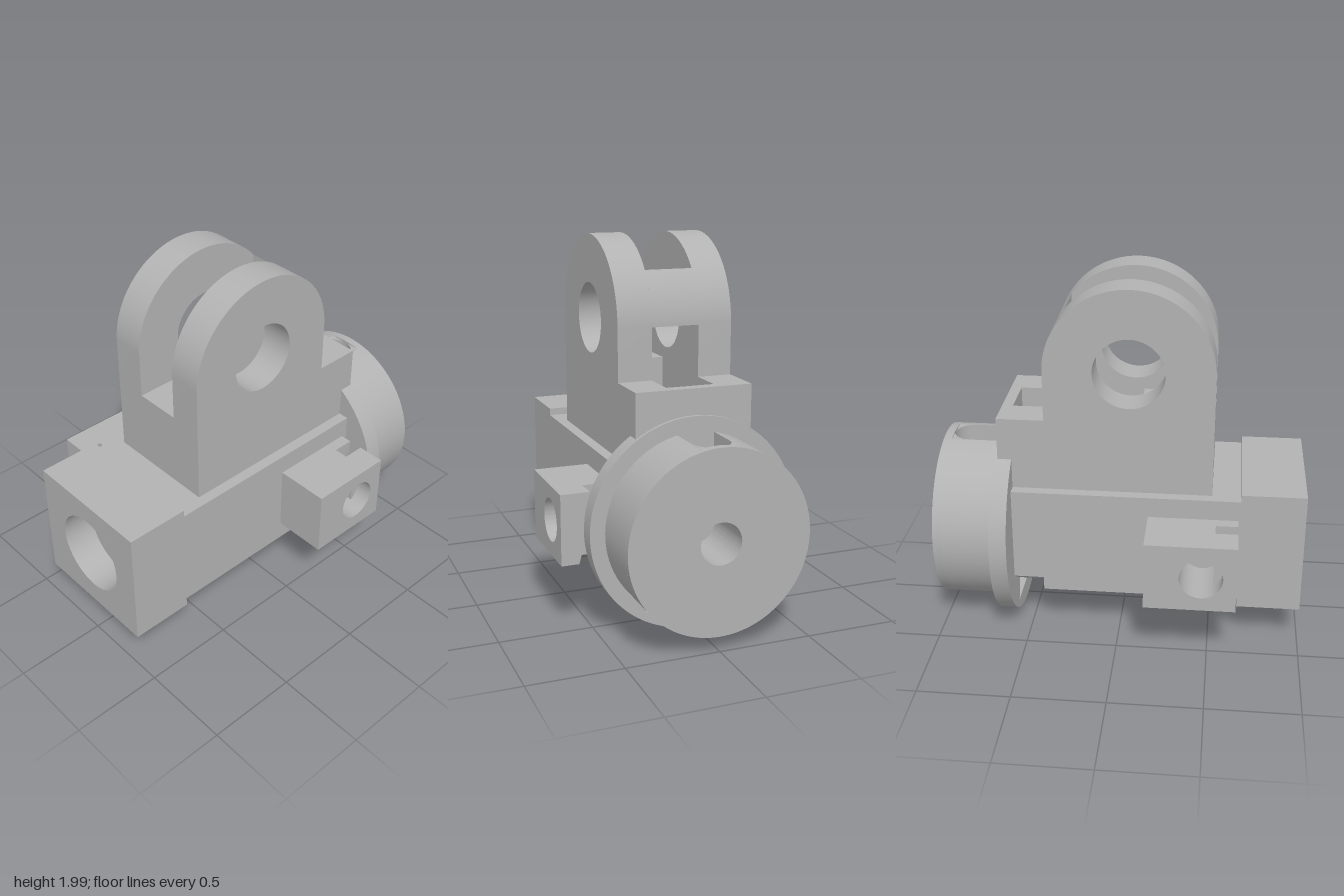
import * as THREE from 'three';
import { toCreasedNormals } from 'three/addons/utils/BufferGeometryUtils.js';

export function createModel() {
  const model = new THREE.Group();
  const grey = new THREE.MeshStandardMaterial({ color: 0xb2b2b2 });
  grey.name = 'plainGrey';

  const add = (name, geometry, parent = model) => {
    const mesh = new THREE.Mesh(toCreasedNormals(geometry, 0.5), grey);
    mesh.name = name;
    parent.add(mesh);
    return mesh;
  };
  const extrude = (shape, depth) =>
    new THREE.ExtrudeGeometry(shape, { depth, bevelEnabled: false, curveSegments: 48 });
  // Outline in x,y swept from z0 to z1
  const alongZ = (shape, z0, z1) => extrude(shape, z1 - z0).translate(0, 0, z0);
  // Outline in z,y swept from x0 to x1
  const alongX = (shape, x0, x1) => extrude(shape, x1 - x0).rotateY(-Math.PI / 2).translate(x1, 0, 0);
  const poly = (...pts) => new THREE.Shape(pts.map(([x, y]) => new THREE.Vector2(x, y)));
  const rect = (a, b, c, d) => poly([a, b], [c, b], [c, d], [a, d]);
  const disc = (x, y, r) => new THREE.Shape().absarc(x, y, r, 0, Math.PI * 2, false);
  const bored = (shape, x, y, r) => {
    shape.holes.push(new THREE.Path().absarc(x, y, r, 0, Math.PI * 2, true));
    return shape;
  };
  const box = (x0, x1, y0, y1, z0, z1) =>
    new THREE.BoxGeometry(x1 - x0, y1 - y0, z1 - z0)
      .translate((x0 + x1) / 2, (y0 + y1) / 2, (z0 + z1) / 2);

  const cy = 0.567;

  // Front socket with a stepped bore
  add('socketMouth', alongZ(bored(rect(-0.375, 0.22, 0.375, 0.91), 0, cy, 0.225), 0.82, 1));
  add('socketNeck', alongZ(bored(rect(-0.375, 0.22, 0.375, 0.91), 0, cy, 0.185), 0.655, 0.82));

  // Main body: bored front, small inner hole, solid web
  add('bodyFront', alongZ(bored(rect(-0.375, 0.27, 0.375, 0.87), 0, cy, 0.185), 0, 0.655));
  add('bodyInnerWall', alongZ(bored(rect(-0.375, 0.27, 0.375, 0.87), -0.052, 0.575, 0.065), -0.1, 0));
  add('bodyWeb', box(-0.375, 0.375, 0.27, 0.87, -0.17, -0.1));

  // Rear side walls either side of the vertical slot, lower corners relieved
  for (const s of [-1, 1]) {
    add('rearWall', alongZ(rect(s * 0.13, 0.27, s * 0.375, 0.87), -0.415, -0.17));
    add('rearWallRelieved', alongZ(poly([s * 0.13, 0.27], [s * 0.27, 0.27], [s * 0.375, 0.345],
      [s * 0.375, 0.87], [s * 0.13, 0.87]), -0.58, -0.415));
  }

  // Clevis: two arched cheeks joined by a front filler, a back bridge and an end wall
  for (const x0 of [-0.315, 0.13]) {
    const cheek = new THREE.Shape();
    cheek.moveTo(0.5, 0.87);
    cheek.lineTo(0.5, 1.545);
    cheek.absarc(0.05, 1.545, 0.45, 0, Math.PI, false);
    for (const [z, y] of [[-0.4, 1.27], [-0.655, 1.27], [-0.655, 1.03], [-0.58, 1.03], [-0.58, 0.87]])
      cheek.lineTo(z, y);
    add('clevisCheek', alongX(bored(cheek, 0.05, 1.545, 0.19), x0, x0 + 0.185));
  }
  add('clevisFiller', box(-0.13, 0.13, 0.87, 1.29, 0.1, 0.5));
  add('clevisEndWall', box(-0.13, 0.13, 1.03, 1.27, -0.655, -0.595));
  const bridge = new THREE.Shape();
  bridge.moveTo(-0.3, 1.545);
  bridge.lineTo(-0.3, 1.828);
  bridge.absarc(0.05, 1.545, 0.45, Math.PI - 0.68, Math.PI, false);
  add('clevisBridge', alongX(bridge, -0.13, 0.13));

  // Side ears with a cross bore and a slot that flares downwards
  const bore = (shape) => bored(shape, -0.36, 0.57, 0.115);
  const bitten = () => {
    const shape = new THREE.Shape();
    const a = Math.atan2(0.095, -0.065);
    shape.moveTo(-0.06, 0.38);
    shape.lineTo(-0.06, 0.757);
    shape.lineTo(-0.425, 0.757);
    shape.lineTo(-0.425, 0.665);
    shape.absarc(-0.36, 0.57, 0.115, a, -a, true);
    shape.lineTo(-0.425, 0.38);
    return shape;
  };
  const makeEar = (name) => {
    const ear = new THREE.Group();
    ear.name = name;
    add('earOuter', alongX(bore(rect(-0.545, 0.38, -0.06, 0.757)), 0.58, 0.675), ear);
    add('earCore', alongX(bitten(), 0.375, 0.58), ear);
    add('earLipOuter', alongZ(poly([0.58, 0.38], [0.58, 0.757], [0.52, 0.757], [0.52, 0.6]), -0.545, -0.425), ear);
    add('earLipInner', alongZ(poly([0.375, 0.38], [0.38, 0.38], [0.44, 0.6], [0.44, 0.757], [0.375, 0.757]),
      -0.545, -0.425), ear);
    model.add(ear);
    return ear;
  };
  makeEar('leftEar');
  const rightEar = makeEar('rightEar');
  rightEar.rotation.y = Math.PI;
  rightEar.position.z = 0.1;

  // Flange with a dovetail recess in its lower part
  const flange = disc(0, cy, 0.565);
  flange.holes.push(new THREE.Path([[-0.27, 0.12], [-0.225, 0.27], [0.225, 0.27], [0.27, 0.12]]
    .map(([x, y]) => new THREE.Vector2(x, y))));
  add('flange', alongZ(flange, -0.675, -0.58));

  // Drum with a centre hole and a round-ended pocket on top
  const r = 0.485, b = Math.asin(0.1 / r), floor = 0.92;
  const notched = new THREE.Shape();
  notched.absarc(0, cy, r, Math.PI / 2 + b, Math.PI * 2.5 - b, false);
  notched.lineTo(0.1, floor);
  notched.lineTo(-0.1, floor);
  add('drumFront', alongZ(bored(notched, 0, cy, 0.11), -0.955, -0.675));
  add('drumBack', alongZ(bored(disc(0, cy, r), 0, cy, 0.11), -1, -0.955));
  for (const s of [-1, 1]) {
    const corner = new THREE.Shape();
    corner.moveTo(s * 0.1, 0.955);
    corner.lineTo(0, 0.955);
    corner.absarc(0, 0.855, 0.1, Math.PI / 2, s > 0 ? 0 : Math.PI, s > 0);
    add('pocketCorner', extrude(corner, 1.042 - floor).rotateX(-Math.PI / 2).translate(0, floor, 0));
  }

  return model;
}
